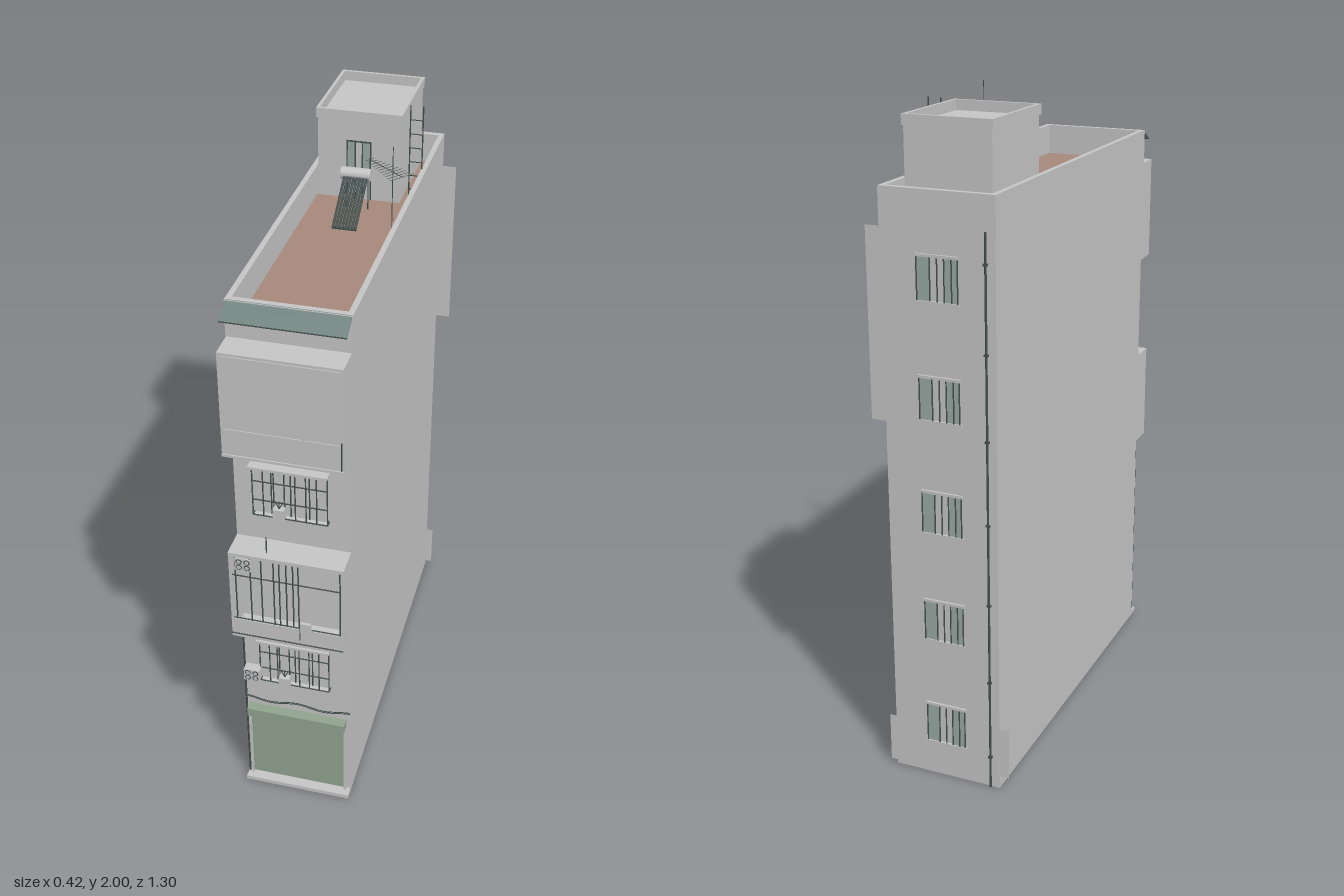
import * as THREE from 'three';

const mat = (name, color) => {
  const m = new THREE.MeshStandardMaterial({ color, side: THREE.DoubleSide });
  m.name = name;
  return m;
};

export function createModel() {
  const wall = mat('wall grey', 0xc5c5c5);
  const tile = mat('terrace tile', 0xa6887b);
  const green = mat('shutter green', 0x91a38f);
  const canopyGreen = mat('canopy green', 0x71827f);
  const dark = mat('dark metal', 0x43504d);
  const glass = mat('window glass', 0x9aaaa4);
  const floorGrey = mat('garage floor', 0xaeaeae);

  const root = new THREE.Group();
  root.name = 'building';

  // Box given by its limits on each axis
  const box = (name, m, x0, x1, y0, y1, z0, z1, parent = root) => {
    const mesh = new THREE.Mesh(new THREE.BoxGeometry(x1 - x0, y1 - y0, z1 - z0), m);
    mesh.position.set((x0 + x1) / 2, (y0 + y1) / 2, (z0 + z1) / 2);
    mesh.name = name;
    parent.add(mesh);
    return mesh;
  };
  // Round bar between two points
  const rod = (name, m, a, b, r = 0.002, parent = root, sides = 6) => {
    const p = new THREE.Vector3(...a), q = new THREE.Vector3(...b);
    const mesh = new THREE.Mesh(new THREE.CylinderGeometry(r, r, p.distanceTo(q), sides), m);
    mesh.position.copy(p).add(q).multiplyScalar(0.5);
    mesh.quaternion.setFromUnitVectors(new THREE.Vector3(0, 1, 0), q.sub(p).normalize());
    mesh.name = name;
    parent.add(mesh);
    return mesh;
  };
  const group = (name) => {
    const g = new THREE.Group();
    g.name = name;
    root.add(g);
    return g;
  };

  const L = -0.183, R = 0.16, F = 0.56, B = -0.637;

  // Main shell, open underneath (four walls and the roof slab)
  const shell = box('mainWalls', wall, L, R, 0, 1.69, B, F);
  const idx = Array.from(shell.geometry.index.array);
  idx.splice(18, 6);
  shell.geometry.setIndex(idx);
  shell.geometry.clearGroups();

  // Garage inside
  box('garageFloor', floorGrey, L + 0.004, R - 0.004, 0, 0.006, 0.255, F - 0.003);
  box('garageBackWall', wall, L + 0.004, R - 0.004, 0, 0.32, 0.25, 0.255);
  box('garageCeiling', wall, L + 0.004, R - 0.004, 0.32, 0.325, 0.25, F - 0.003);

  // Terrace with a slightly overhanging parapet
  box('terraceFloor', tile, L + 0.014, R - 0.014, 1.69, 1.696, B + 0.016, F - 0.022);
  box('parapetLeft', wall, R - 0.014, R + 0.002, 1.68, 1.79, B - 0.002, F);
  box('parapetRight', wall, L - 0.002, L + 0.014, 1.68, 1.79, B - 0.002, F);
  box('parapetFront', wall, L, R, 1.68, 1.79, F - 0.022, F + 0.001);
  box('parapetBack', wall, L, R, 1.68, 1.79, B - 0.002, B + 0.016);

  // Sloping canopy above the front
  const canopy = box('canopy', canopyGreen, L, R, -0.002, 0.002, -0.033, 0.033);
  canopy.position.set((L + R) / 2, 1.772, 0.584);
  canopy.rotation.x = 0.55;
  rod('canopyEdge', dark, [L, 1.754, 0.612], [R, 1.754, 0.612], 0.002);

  // Garage shutter
  box('shutterPanel', green, -0.165, 0.14, 0.02, 0.3, F, F + 0.006);
  box('shutterCase', green, -0.17, 0.146, 0.297, 0.327, F, 0.592);
  for (const x of [-0.171, 0.14]) box('shutterRail', wall, x, x + 0.006, 0, 0.3, F, F + 0.012);
  box('doorStep', wall, L, R, 0, 0.014, F, 0.593);
  rod('frontPipe', dark, [-0.179, 0, F + 0.005], [-0.179, 0.69, F + 0.005], 0.003);

  // Hanging cable over the shutter
  const sag = [];
  for (let i = 0; i <= 24; i++) {
    const t = i / 24;
    sag.push(new THREE.Vector3(L + t * (R - L), 0.355 + 0.006 * Math.cos(t * Math.PI * 4), F + 0.008));
  }
  for (const dy of [0, 0.005]) {
    const cable = new THREE.Mesh(new THREE.TubeGeometry(new THREE.CatmullRomCurve3(sag), 48, 0.0015, 5), dark);
    cable.position.y = dy;
    cable.name = 'cable';
    root.add(cable);
  }

  // Air conditioner with fan rings
  const airConditioner = (x, y, z) => {
    const g = group('airConditioner');
    box('unitCase', wall, x - 0.025, x + 0.025, y - 0.022, y + 0.022, z - 0.03, z, g);
    for (const dx of [-0.012, 0.012]) for (const dy of [-0.01, 0.01]) {
      const ring = new THREE.Mesh(new THREE.TorusGeometry(0.008, 0.0015, 5, 14), dark);
      ring.position.set(x + dx, y + dy, z);
      ring.name = 'fanGuard';
      g.add(ring);
    }
  };

  // Front windows with cage grilles
  for (const y of [0.455, 1.11]) {
    const g = group('frontWindow');
    const x0 = -0.123, x1 = 0.096, top = y + 0.167, z = 0.58;
    box('pane', wall, x0, x1, y, top, F, F + 0.004, g);
    box('lintel', wall, x0 - 0.005, x1 + 0.006, top + 0.008, top + 0.016, F, 0.604, g);
    box('sill', wall, x0, x1, y - 0.006, y, F, 0.578, g);
    for (let i = 0; i <= 7; i++) {
      const x = x0 + ((x1 - x0) * i) / 7;
      rod('grilleBar', dark, [x, y, z], [x, top, z], 0.002, g);
    }
    for (const h of [0, 0.055, 0.12, 0.167]) rod('grilleRail', dark, [x0, y + h, z], [x1, y + h, z], 0.002, g);
    for (const x of [x0, x1]) for (const h of [0, 0.167]) rod('grilleArm', dark, [x, y + h, F], [x, y + h, z], 0.002, g);
    for (const x of [-0.072, -0.015, 0.04]) rod('windowFrame', dark, [x, y, F + 0.005], [x, top, F + 0.005], 0.002, g);
    box('flowerBox', wall, -0.058, -0.025, y + 0.01, y + 0.045, 0.583, 0.604, g);
    for (const dx of [-0.012, 0, 0.012])
      rod('plantStem', dark, [-0.041, y + 0.045, 0.594], [-0.041 + dx, y + 0.07, 0.594], 0.0015, g);
  }
  airConditioner(-0.145, 0.49, 0.604);

  // Middle balcony, open behind a bar screen
  const balcony = group('middleBalcony');
  box('balconyFloor', wall, L, R, 0.69, 0.703, F, 0.648, balcony);
  box('balconyParapet', wall, L, R, 0.703, 0.758, 0.636, 0.646, balcony);
  box('balconyRoof', wall, L, R, 0.998, 1.01, F, 0.648, balcony);
  box('balconySide', wall, L, L + 0.008, 0.69, 1.01, F, 0.647, balcony);
  box('balconySide', wall, R - 0.008, R, 0.69, 1.01, F, 0.647, balcony);
  for (const x of [-0.165, -0.12, -0.087, -0.05, -0.033, -0.012, 0.008, 0.024, 0.148])
    rod('screenBar', dark, [x, 0.758, 0.642], [x, 0.998, 0.642], 0.0022, balcony);
  for (const y of [0.76, 0.925]) rod('screenRail', dark, [L, y, 0.642], [R, y, 0.642], 0.002, balcony);
  rod('balconySkirting', dark, [L, 0.702, 0.648], [R, 0.702, 0.648], 0.002, balcony);
  box('planter', wall, 0.03, 0.062, 0.755, 0.79, 0.646, 0.656, balcony);
  rod('planterStake', dark, [0.028, 0.72, 0.65], [0.028, 0.79, 0.65], 0.0015, balcony);
  rod('roofStake', dark, [-0.075, 1.01, 0.62], [-0.075, 1.065, 0.62], 0.002, balcony);
  airConditioner(-0.14, 0.97, 0.646);

  // Top enclosed bay with window frames
  const bay = group('topBay');
  box('bayBody', wall, L, R, 1.35, 1.68, F, 0.645, bay);
  box('bayLedge', wall, L, R, 1.35, 1.358, F, 0.649, bay);
  for (const [x0, x1] of [[-0.172, 0.045], [0.05, 0.15]]) {
    for (const x of [x0, x1]) box('bayFrame', wall, x - 0.002, x + 0.002, 1.44, 1.67, 0.645, 0.648, bay);
    for (const y of [1.44, 1.67]) box('bayFrame', wall, x0, x1, y - 0.002, y + 0.002, 0.645, 0.648, bay);
  }
  rod('bayRail', dark, [0.155, 1.36, 0.646], [0.155, 1.45, 0.646], 0.002, bay);

  // Rear windows, one for each floor
  for (let i = 0; i < 5; i++) {
    const g = group('rearWindow');
    const y0 = 0.11 + 0.343 * i, y1 = y0 + 0.13;
    box('sashPane', glass, 0.01, 0.05, y0, y1, B - 0.003, B, g);
    box('sashPane', glass, -0.073, -0.035, y0, y1, B - 0.003, B, g);
    for (const y of [y0, y1]) box('frame', wall, -0.077, 0.054, y - 0.004, y + 0.004, B - 0.007, B, g);
    for (const x of [-0.073, -0.055, -0.033, -0.012, 0.01, 0.05])
      rod('bar', dark, [x, y0, B - 0.005], [x, y1, B - 0.005], 0.002, g);
  }
  // Rear drain pipe
  rod('drainPipe', dark, [-0.155, 0, B - 0.004], [-0.155, 1.69, B - 0.004], 0.0035, root, 8);
  for (let i = 0; i < 7; i++) box('pipeClip', dark, -0.161, -0.149, 0.1 + i * 0.25, 0.106 + i * 0.25, B - 0.009, B);

  // Flat wall strips at the back corners
  for (const [x0, x1, y0, y1] of [[R, 0.206, 1.12, 1.68], [R, 0.182, 0.01, 0.165], [-0.213, L, 0.04, 0.2]]) {
    const strip = new THREE.Mesh(new THREE.PlaneGeometry(x1 - x0, y1 - y0), wall);
    strip.position.set((x0 + x1) / 2, (y0 + y1) / 2, B + 0.001);
    strip.rotation.y = Math.PI;
    strip.name = 'rearStrip';
    root.add(strip);
  }

  // Stair room on the terrace
  const room = group('stairRoom');
  box('roomWalls', wall, -0.165, 0.092, 1.69, 1.95, -0.613, -0.3, room);
  box('roomRim', wall, -0.169, -0.159, 1.95, 1.98, -0.617, -0.295, room);
  box('roomRim', wall, 0.086, 0.096, 1.95, 1.98, -0.617, -0.295, room);
  box('roomRim', wall, -0.169, 0.096, 1.95, 1.98, -0.617, -0.607, room);
  box('roomRim', wall, -0.169, 0.096, 1.95, 1.98, -0.305, -0.295, room);
  box('doorLeaf', wall, -0.073, 0, 1.696, 1.885, -0.3, -0.298, room);
  for (const x of [-0.073, -0.025]) {
    box('doorGlass', glass, x, x + 0.025, 1.8, 1.882, -0.298, -0.296, room);
    for (const e of [x, x + 0.025]) box('doorFrame', dark, e - 0.002, e + 0.002, 1.696, 1.885, -0.298, -0.295, room);
  }
  box('doorFrame', dark, -0.075, 0.002, 1.882, 1.886, -0.298, -0.295, room);

  // Ladder beside the stair room
  const ladder = group('ladder');
  for (const x of [0.108, 0.147]) rod('ladderRail', dark, [x, 1.696, -0.357], [x, 1.99, -0.357], 0.002, ladder);
  for (let y = 1.72; y < 1.98; y += 0.045) rod('rung', dark, [0.108, y, -0.357], [0.147, y, -0.357], 0.0015, ladder);

  // Solar water heater
  const heater = group('solarHeater');
  rod('tank', wall, [-0.073, 1.81, -0.231], [0.018, 1.81, -0.231], 0.019, heater, 20);
  for (let i = 0; i < 8; i++) {
    const x = -0.06 + i * 0.0097;
    rod('heatTube', dark, [x, 1.805, -0.215], [x, 1.705, -0.078], 0.0042, heater, 8);
  }
  rod('heaterFoot', dark, [-0.064, 1.703, -0.077], [0.011, 1.703, -0.077], 0.004, heater);
  for (const x of [-0.06, 0.008]) rod('heaterLeg', dark, [x, 1.696, -0.235], [x, 1.8, -0.235], 0.002, heater);

  // Antenna: mast, boom and cross elements
  const aerial = group('antenna');
  rod('mast', dark, [0.13, 1.696, -0.024], [0.13, 2.0, -0.024], 0.0013, aerial);
  rod('boom', dark, [0.05, 1.93, -0.08], [0.165, 1.93, 0.012], 0.001, aerial, 4);
  for (let i = 0; i < 11; i++) {
    const t = i / 10, x = 0.05 + 0.115 * t, z = -0.08 + 0.092 * t, h = 0.014 + 0.028 * t;
    rod('element', dark, [x - h * 0.64, 1.93, z + h * 0.77], [x + h * 0.64, 1.93, z - h * 0.77], 0.0007, aerial, 4);
  }

  // Terrace drain
  const drain = new THREE.Mesh(new THREE.CylinderGeometry(0.015, 0.015, 0.004, 24), tile);
  drain.position.set(-0.135, 1.697, 0.505);
  drain.name = 'terraceDrain';
  root.add(drain);

  return root;
}
